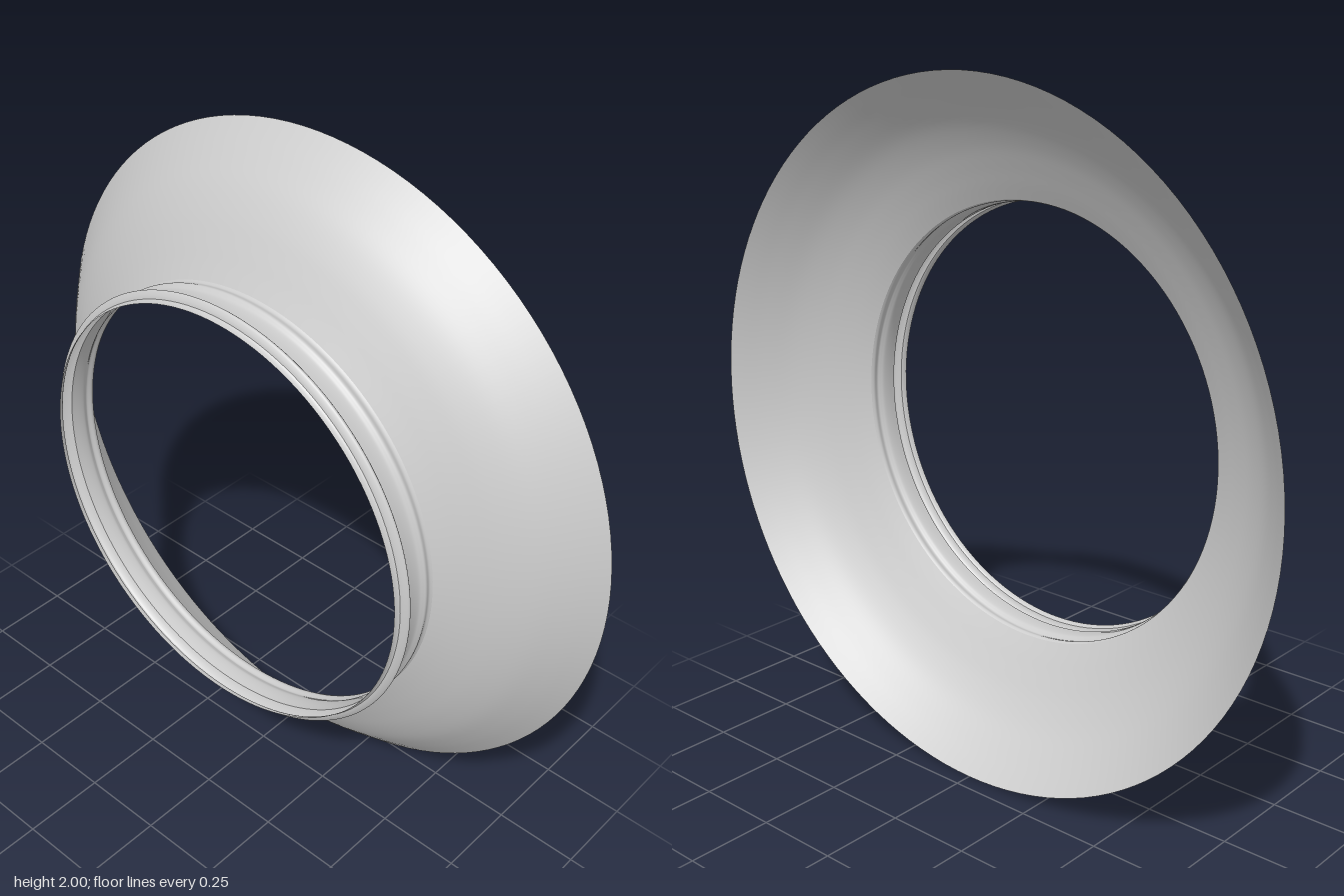
import * as THREE from 'three';

export function createModel() {
  const group = new THREE.Group();
  group.name = 'flaredRing';
  const material = new THREE.MeshStandardMaterial({ color: 0xcccccc, side: THREE.DoubleSide });

  // Revolve a smooth [radius, z] profile around the ring's axis
  const revolve = (name, profile, steps) => {
    const curve = new THREE.SplineCurve(profile.map(([r, z]) => new THREE.Vector2(r, z)));
    const geometry = new THREE.LatheGeometry(curve.getPoints(steps), 128);
    geometry.rotateX(Math.PI / 2);
    const mesh = new THREE.Mesh(geometry, material);
    mesh.name = name;
    mesh.position.y = 1;
    group.add(mesh);
  };

  // Wide flare, opening towards the back
  revolve('flare', [
    [1, -0.2], [0.97, -0.17], [0.925, -0.125], [0.865, -0.07],
    [0.8, -0.025], [0.737, 0.01], [0.685, 0.037], [0.642, 0.06],
  ], 32);

  // Neck with a slight ridge where it meets the flare
  revolve('neck', [
    [0.642, 0.06], [0.638, 0.07], [0.642, 0.085], [0.638, 0.094],
    [0.633, 0.105], [0.632, 0.125], [0.634, 0.15],
  ], 28);

  // Raised bead around the front of the neck
  revolve('bead', [
    [0.634, 0.15], [0.645, 0.157], [0.655, 0.167], [0.655, 0.174], [0.645, 0.181], [0.636, 0.184],
  ], 20);

  // Straight front lip
  revolve('lip', [[0.636, 0.184], [0.632, 0.19], [0.63, 0.2]], 4);

  return group;
}
